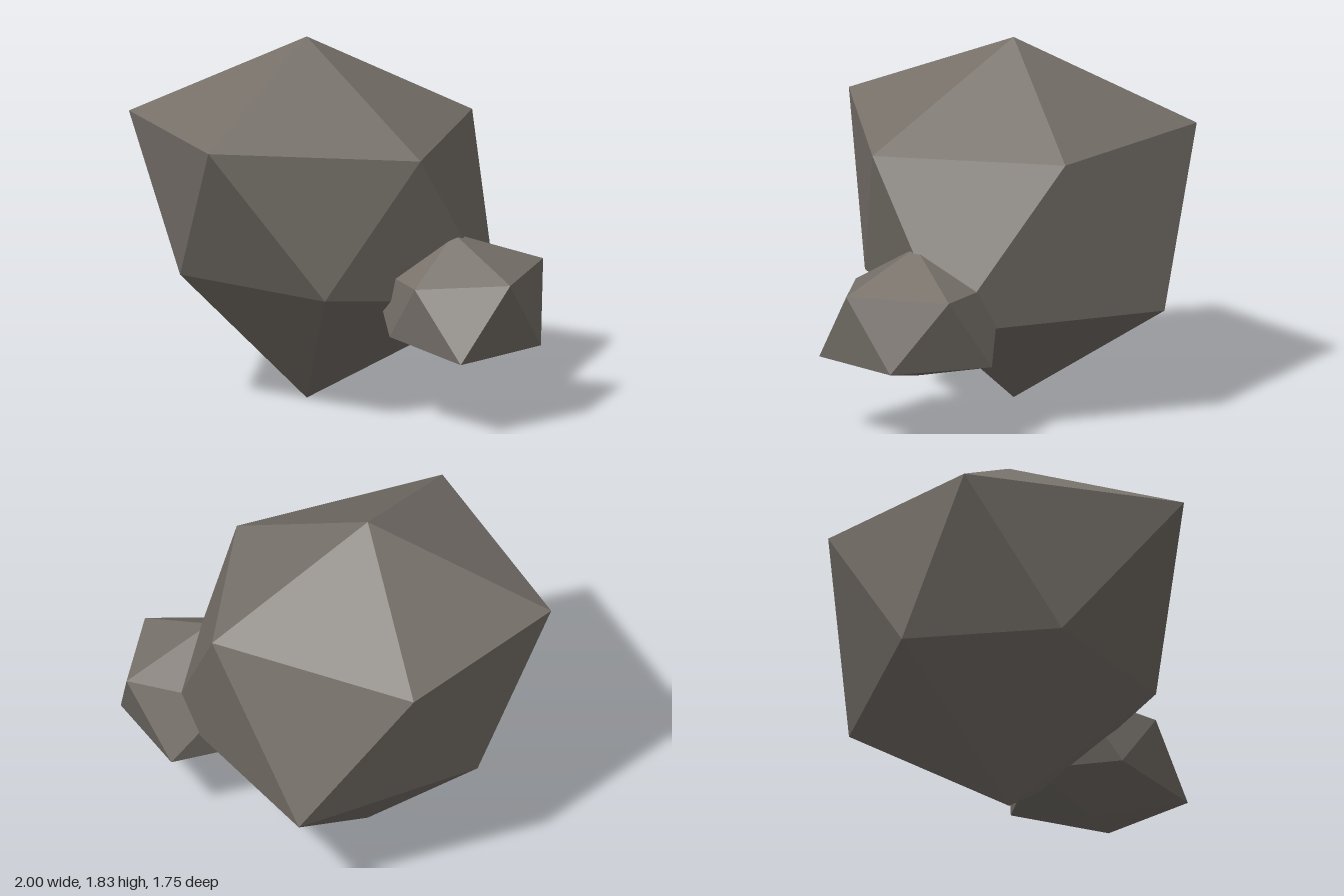
import * as THREE from 'three';

// Rough twenty-sided boulder: two tips and two staggered rings of five corners.
// lower[i] sits between upper[i] and upper[i + 1].
function rock(name, material, top, upper, lower, bottom) {
  const positions = [];
  const face = (...corners) => corners.forEach((c) => positions.push(...c));
  for (let i = 0; i < 5; i++) {
    const j = (i + 1) % 5;
    face(top, upper[j], upper[i]);
    face(upper[i], upper[j], lower[i]);
    face(lower[i], upper[j], lower[j]);
    face(bottom, lower[i], lower[j]);
  }
  const geometry = new THREE.BufferGeometry();
  geometry.setAttribute('position', new THREE.Float32BufferAttribute(positions, 3));
  geometry.computeVertexNormals();
  const mesh = new THREE.Mesh(geometry, material);
  mesh.name = name;
  return mesh;
}

export function createModel() {
  const group = new THREE.Group();
  group.name = 'rocks';
  const stone = new THREE.MeshStandardMaterial({ color: 0x77716a, flatShading: true });
  stone.name = 'stone';

  // Main boulder
  group.add(rock('largeRock', stone,
    [-0.235, 1.83, -0.04],
    [[-0.99, 1.38, -0.535], [0.06, 1.39, -0.855], [0.635, 1.36, -0.04], [0.095, 1.44, 0.87], [-1, 1.39, 0.46]],
    [[-0.535, 0.565, -0.875], [0.58, 0.56, -0.58], [0.38, 0.665, 0.36], [-0.46, 0.68, 0.585], [-0.96, 0.675, -0.035]],
    [-0.235, 0, -0.04]));

  // Small boulder sunk into the side of the main one
  group.add(rock('smallRock', stone,
    [0.57, 0.94, -0.31],
    [[0.23, 0.76, -0.55], [0.71, 0.77, -0.765], [1, 0.755, -0.31], [0.68, 0.73, 0.035], [0.23, 0.76, -0.06]],
    [[0.43, 0.4, -0.745], [0.925, 0.4, -0.57], [0.955, 0.39, -0.03], [0.47, 0.45, 0.02], [0.17, 0.42, -0.31]],
    [0.57, 0.29, -0.31]));

  return group;
}
